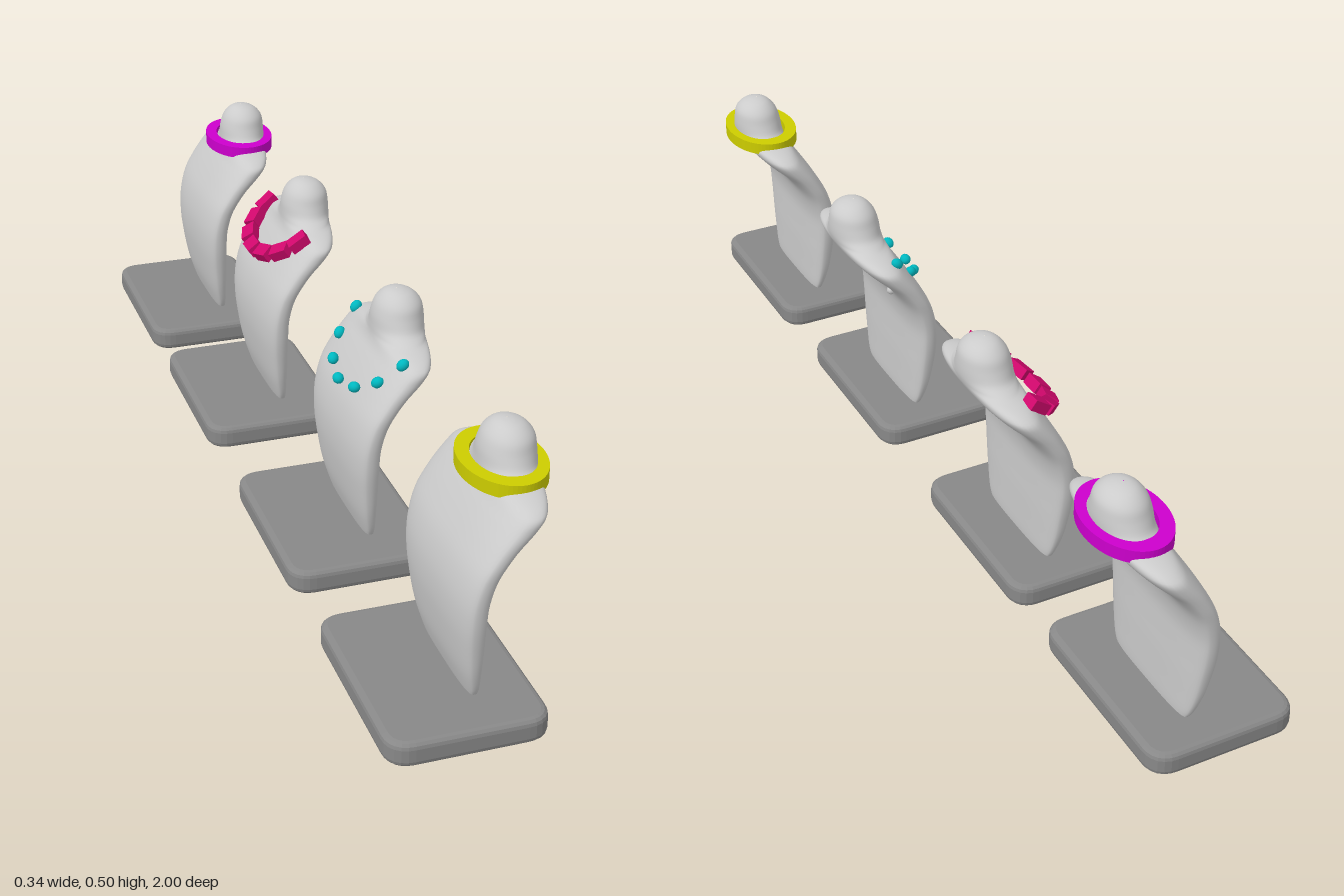
import * as THREE from 'three';

const mat = (color) => new THREE.MeshStandardMaterial({ color });
const grey = mat(0xcccccc), baseGrey = mat(0x888888);

function add(parent, name, geometry, material) {
  const m = new THREE.Mesh(geometry, material);
  m.name = name;
  parent.add(m);
  return m;
}

// Bust sections from foot to crown: [y, min x, max x, half width, squareness]
const SECTIONS = [
  [0.040, 0.006, 0.028, 0.112, 3],
  [0.060, -0.001, 0.030, 0.124, 3],
  [0.100, -0.013, 0.031, 0.137, 3],
  [0.150, -0.022, 0.032, 0.147, 3],
  [0.200, -0.027, 0.032, 0.155, 3],
  [0.250, -0.025, 0.034, 0.160, 3],
  [0.300, -0.013, 0.048, 0.164, 3],
  [0.345, 0.009, 0.080, 0.166, 2.8],
  [0.380, 0.030, 0.118, 0.166, 2.6],
  [0.400, 0.043, 0.136, 0.162, 2.4],
  [0.412, 0.048, 0.143, 0.142, 2.2],
  [0.422, 0.050, 0.147, 0.100, 2],
  [0.436, 0.051, 0.150, 0.073, 2],
  [0.458, 0.053, 0.150, 0.061, 2],
  [0.480, 0.060, 0.146, 0.052, 2],
  [0.496, 0.073, 0.132, 0.035, 2],
  [0.503, 0.086, 0.115, 0.017, 2],
  [0.505, 0.099, 0.101, 0.001, 2],
];

// Superellipse loft through the sections
function bustGeometry(rows = 68, cols = 48) {
  const edges = new THREE.CatmullRomCurve3(SECTIONS.map(s => new THREE.Vector3(s[1], s[0], s[2])));
  const widths = new THREE.CatmullRomCurve3(SECTIONS.map(s => new THREE.Vector3(s[3], s[0], s[4])));
  const pos = [], index = [];
  for (let i = 0; i <= rows; i++) {
    const e = edges.getPoint(i / rows), w = widths.getPoint(i / rows);
    const mid = (e.x + e.z) / 2, half = (e.z - e.x) / 2;
    const power = (v) => Math.sign(v) * Math.pow(Math.abs(v), 2 / w.z);
    for (let j = 0; j < cols; j++) {
      const a = j / cols * Math.PI * 2;
      pos.push(mid + half * power(Math.cos(a)), e.y, w.x * power(Math.sin(a)));
      if (i < rows) {
        const p = i * cols + j, q = i * cols + (j + 1) % cols;
        index.push(p, p + cols, q, q, p + cols, q + cols);
      }
    }
  }
  const g = new THREE.BufferGeometry();
  g.setAttribute('position', new THREE.Float32BufferAttribute(pos, 3));
  g.setIndex(index);
  g.computeVertexNormals();
  return g;
}

// Rounded plinth slab with softened edges
function baseGeometry() {
  const bevel = 0.012, w = 0.1465 - bevel, d = 0.2 - bevel, r = 0.035;
  const s = new THREE.Shape();
  s.moveTo(-w + r, -d);
  s.lineTo(w - r, -d).quadraticCurveTo(w, -d, w, -d + r);
  s.lineTo(w, d - r).quadraticCurveTo(w, d, w - r, d);
  s.lineTo(-w + r, d).quadraticCurveTo(-w, d, -w, d - r);
  s.lineTo(-w, -d + r).quadraticCurveTo(-w, -d, -w + r, -d);
  return new THREE.ExtrudeGeometry(s, {
    depth: 0.048 - 2 * bevel, bevelThickness: bevel, bevelSize: bevel, bevelSegments: 3, curveSegments: 6,
  }).rotateX(-Math.PI / 2).translate(-0.0235, bevel, 0);
}

// Flat oval collar around the neck
function collarGeometry() {
  const s = new THREE.Shape().absellipse(0, 0, 0.074, 0.105, 0, Math.PI * 2);
  s.holes.push(new THREE.Path().absellipse(0, 0, 0.05, 0.074, 0, Math.PI * 2, true));
  return new THREE.ExtrudeGeometry(s, { depth: 0.025, bevelEnabled: false, curveSegments: 32 })
    .rotateX(-Math.PI / 2).translate(0.094, 0.41, 0);
}

// Open string of beads on a tilted half oval over the chest
function necklace(parent, name, geometry, material, [x, y, tilt, rx, rz]) {
  const g = new THREE.Group();
  g.name = name;
  g.position.set(x, y, 0);
  g.rotation.z = tilt;
  for (let i = 0; i < 7; i++) {
    const t = (i - 3) * 0.49;
    const bead = add(g, 'bead', geometry, material);
    bead.position.set(-rx * Math.cos(t), 0, rz * Math.sin(t));
    bead.rotation.y = Math.atan2(rx * Math.sin(t), rz * Math.cos(t));
  }
  parent.add(g);
}

export function createModel() {
  const model = new THREE.Group();
  model.name = 'jewelleryDisplay';
  const bust = bustGeometry(), base = baseGeometry(), collar = collarGeometry();
  const roundBead = new THREE.SphereGeometry(0.012, 12, 8).scale(0.9, 0.9, 1.1);
  const blockBead = new THREE.BoxGeometry(0.03, 0.022, 0.042);

  // Each stand: base centre z and what it wears
  const stands = [
    [0.8, g => add(g, 'yellowCollar', collar, mat(0xcccc00))],
    [0.27, g => {
      necklace(g, 'roundBeadNecklace', roundBead, mat(0x00b8c0), [0.075, 0.42, 0.78, 0.125, 0.133]);
      add(g, 'clasp', new THREE.SphereGeometry(0.009, 8, 6), grey).position.set(0.066, 0.332, -0.1);
    }],
    [-0.31, g => necklace(g, 'blockBeadNecklace', blockBead, mat(0xd0086c), [0.06, 0.416, 0.64, 0.09, 0.115])],
    [-0.8, g => add(g, 'magentaCollar', collar, mat(0xcc00cc))],
  ];
  for (const [z, dress] of stands) {
    const stand = new THREE.Group();
    stand.name = 'stand';
    stand.position.z = z;
    add(stand, 'base', base, baseGrey);
    const figure = new THREE.Group();
    figure.name = 'dressedBust';
    figure.position.z = -0.013;
    add(figure, 'bust', bust, grey);
    dress(figure);
    stand.add(figure);
    model.add(stand);
  }
  return model;
}
